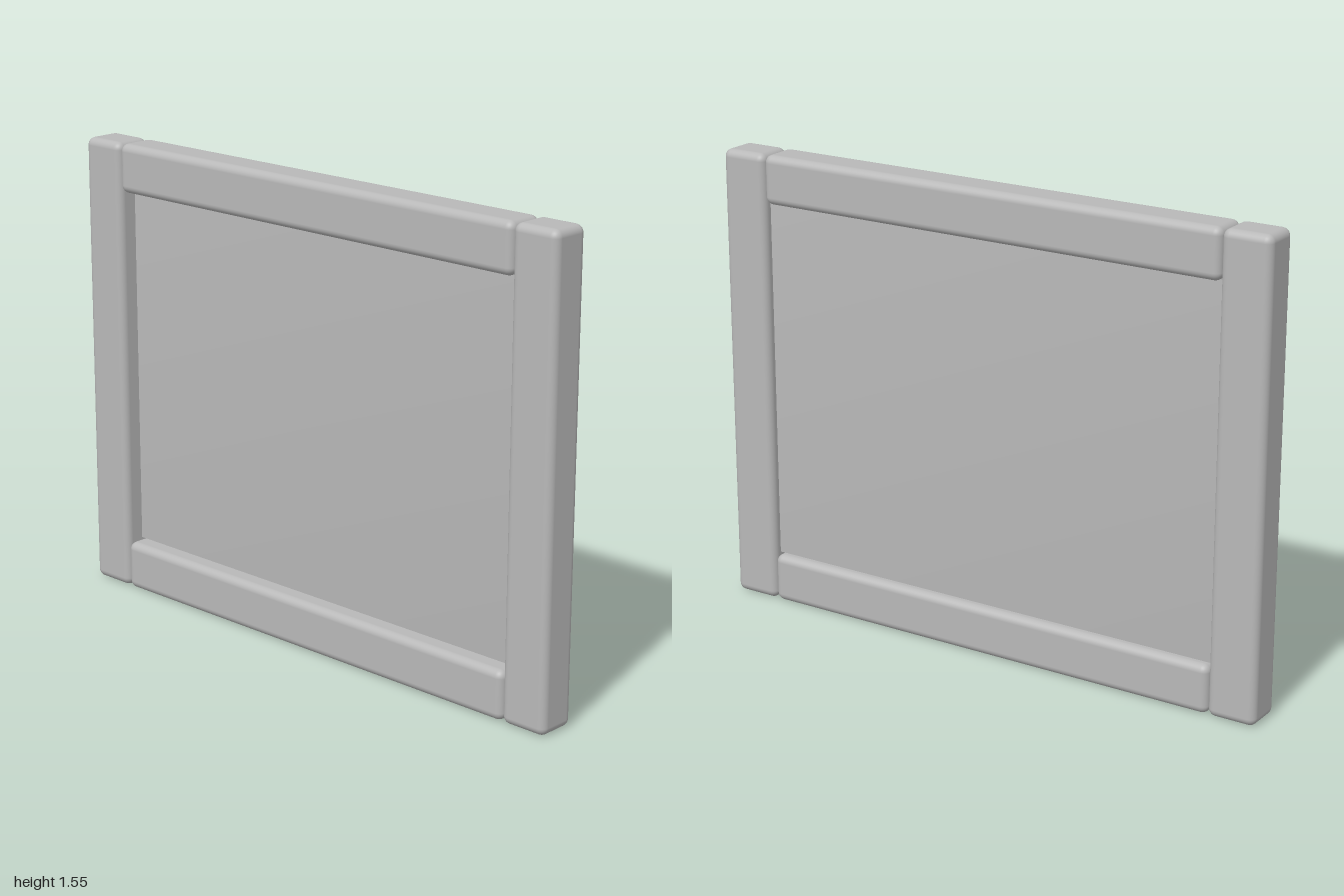
import * as THREE from 'three';
import { RoundedBoxGeometry } from 'three/addons/geometries/RoundedBoxGeometry.js';
import { mergeVertices } from 'three/addons/utils/BufferGeometryUtils.js';

const HEIGHT = 1.555, BAR = 0.165, DEPTH = 0.137, BEVEL = 0.026;

export function createModel() {
  const group = new THREE.Group();
  const grey = new THREE.MeshStandardMaterial({ color: 0xb8b8b8 });
  grey.name = 'grey';

  const add = (name, geometry, x, y, z = 0) => {
    const mesh = new THREE.Mesh(geometry, grey);
    mesh.name = name;
    mesh.position.set(x, y, z);
    group.add(mesh);
  };

  // upright posts at both ends
  const post = new RoundedBoxGeometry(BAR, HEIGHT, DEPTH, 4, BEVEL);
  add('leftPost', post, 1 - BAR / 2, HEIGHT / 2);
  add('rightPost', post, BAR / 2 - 1, HEIGHT / 2);

  // rails between the posts
  const inner = 2 - 2 * BAR;
  const rail = new RoundedBoxGeometry(inner, BAR, DEPTH, 4, BEVEL);
  add('topRail', rail, 0, HEIGHT - BAR / 2);
  add('bottomRail', rail, 0, BAR / 2);

  // thin recessed panel, softly shaded across its shared corners
  let panel = new THREE.BoxGeometry(inner, HEIGHT - 2 * BAR, 0.034);
  panel.deleteAttribute('normal');
  panel.deleteAttribute('uv');
  panel = mergeVertices(panel);
  panel.computeVertexNormals();
  add('panel', panel, 0, HEIGHT / 2, -0.016);

  return group;
}
